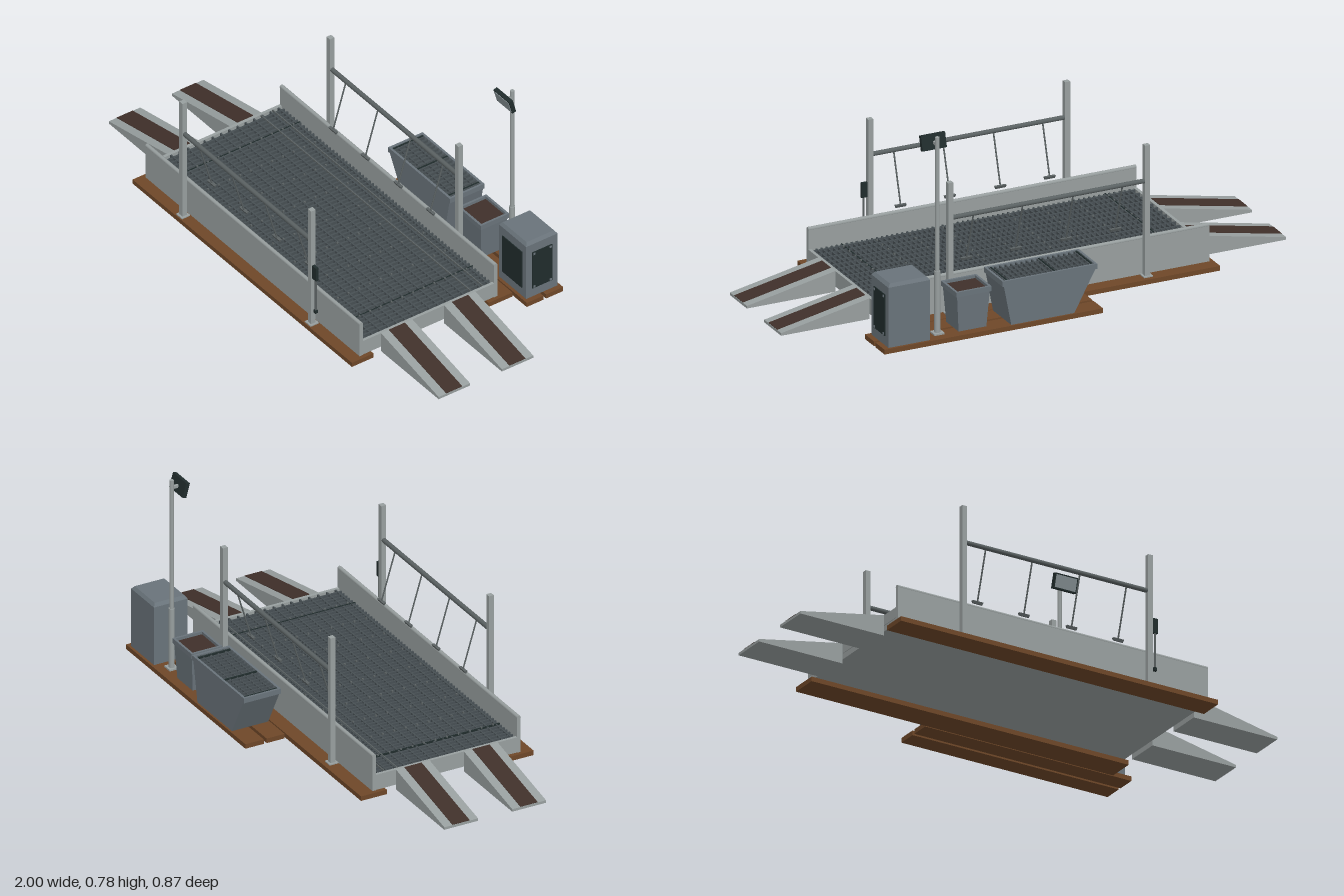
import * as THREE from 'three';
import { mergeGeometries } from 'three/addons/utils/BufferGeometryUtils.js';

export function createModel() {
  const model = new THREE.Group();
  model.name = 'washPlatform';
  const mat = (name, color) => {
    const m = new THREE.MeshStandardMaterial({ color });
    m.name = name;
    return m;
  };
  const steel = mat('galvanised steel', 0x989f9f);
  const slate = mat('slate paint', 0x69737a);
  const grate = mat('dark grating', 0x474f53);
  const dark = mat('black panel', 0x202c2c);
  const wood = mat('timber', 0x6e4728);
  const brown = mat('brown tread', 0x40302a);
  const rod = mat('spray pipe', 0x5b6263);
  const lens = mat('lamp lens', 0x8a9599);

  const add = (name, geo, material, parent = model) => {
    const m = new THREE.Mesh(geo, material);
    m.name = name;
    parent.add(m);
    return m;
  };
  // Box from its limits on each axis
  const span = (x0, x1, y0, y1, z0, z1) =>
    new THREE.BoxGeometry(x1 - x0, y1 - y0, z1 - z0)
      .translate((x0 + x1) / 2, (y0 + y1) / 2, (z0 + z1) / 2);
  // Box whose bottom and top have different limits: [x0, x1, z0, z1]
  const taper = (y0, y1, low, high) => {
    const g = new THREE.BoxGeometry(1, 1, 1).toNonIndexed();
    const p = g.attributes.position;
    for (let i = 0; i < p.count; i++) {
      const top = p.getY(i) > 0, r = top ? high : low;
      p.setXYZ(i, r[p.getX(i) > 0 ? 1 : 0], top ? y1 : y0, r[p.getZ(i) > 0 ? 3 : 2]);
    }
    g.computeVertexNormals();
    return g;
  };
  // Straight pipe between two points
  const pipe = (a, b, r, sides = 8) => {
    const A = new THREE.Vector3(...a), B = new THREE.Vector3(...b);
    const d = B.clone().sub(A);
    const q = new THREE.Quaternion().setFromUnitVectors(new THREE.Vector3(0, 1, 0), d.clone().normalize());
    const c = A.add(B).multiplyScalar(0.5);
    return new THREE.CylinderGeometry(r, r, d.length(), sides).applyQuaternion(q).translate(c.x, c.y, c.z);
  };
  // Hollow rectangular rim
  const rim = (x0, x1, y0, y1, z0, z1, t) => mergeGeometries([
    span(x0, x1, y0, y1, z0, z0 + t), span(x0, x1, y0, y1, z1 - t, z1),
    span(x0, x0 + t, y0, y1, z0 + t, z1 - t), span(x1 - t, x1, y0, y1, z0 + t, z1 - t)]);

  // Timber sleepers
  for (const [x0, x1, z0, z1] of [
    [-0.665, 0.665, 0.34, 0.435], [-0.665, 0.665, -0.27, -0.165],
    [-0.12, 0.745, -0.348, -0.275], [-0.12, 0.745, -0.435, -0.36]])
    add('sleeper', span(x0, x1, 0, 0.018, z0, z1), wood);

  // Basin, side walls and rolled top edges
  const deck = new THREE.Group();
  deck.name = 'deck';
  model.add(deck);
  add('basin', span(-0.648, 0.648, 0.018, 0.06, -0.213, 0.388), steel, deck);
  add('basinRim', rim(-0.65, 0.65, 0.04, 0.08, -0.215, 0.39, 0.012), steel, deck);
  for (const [z0, z1, name] of [[0.376, 0.39, 'frontWall'], [-0.215, -0.201, 'rearWall']]) {
    add(name, span(-0.65, 0.65, 0.018, 0.158, z0, z1), steel, deck);
    const zc = (z0 + z1) / 2;
    add(name + 'Edge', pipe([-0.65, 0.157, zc], [0.65, 0.157, zc], 0.008), steel, deck);
  }

  // Floor grating
  add('gratingFloor', span(-0.637, 0.637, 0.06, 0.068, -0.2, 0.375), grate, deck);
  const bars = [], studs = [];
  for (let i = 0; i <= 62; i++) {
    const x = -0.62 + i * 0.02;
    bars.push(span(x - 0.003, x + 0.003, 0.068, 0.079, -0.2, 0.375));
  }
  for (let i = 0; i < 16; i++) {
    const z = -0.185 + i * 0.0363;
    bars.push(span(-0.637, 0.637, 0.068, 0.08, z - 0.003, z + 0.003));
  }
  add('gratingBars', mergeGeometries(bars), grate, deck);
  for (let i = 0; i < 9; i++)
    for (let j = 0; j < 12; j++) {
      const x = -0.525 + i * 0.1312, z = -0.17 + j * 0.047;
      studs.push(span(x - 0.003, x + 0.003, 0.078, 0.084, z - 0.003, z + 0.003));
    }
  add('gratingClips', mergeGeometries(studs), rod, deck);
  for (const x of [-0.525, 0.52])
    add('gratingJoint', span(x - 0.002, x + 0.002, 0.074, 0.081, -0.2, 0.375), dark, deck);
  for (const z of [-0.16, -0.108])
    add('drainRail', span(-0.637, 0.637, 0.074, 0.082, z - 0.002, z + 0.002), rod, deck);

  // Drive-on ramps with brown treads
  for (const s of [-1, 1])
    for (const z of [0.2275, -0.05]) {
      const ramp = new THREE.Group();
      ramp.name = 'ramp';
      const shape = new THREE.Shape([[0.65, 0], [1, 0], [1, 0.01], [0.65, 0.08]]
        .map(([x, y]) => new THREE.Vector2(x, y)));
      add('rampBody', new THREE.ExtrudeGeometry(shape, { depth: 0.138, bevelEnabled: false })
        .translate(0, 0, -0.069), steel, ramp);
      const tread = add('rampTread', new THREE.BoxGeometry(0.355, 0.003, 0.07), brown, ramp);
      tread.position.set(0.825, 0.0455, 0);
      tread.rotation.z = -Math.atan2(0.07, 0.35);
      ramp.position.z = z;
      ramp.rotation.y = s < 0 ? Math.PI : 0;
      if (s < 0) ramp.position.z = z;
      model.add(ramp);
    }

  // Spray frames: posts, rail and slanted drop pipes with nozzles
  for (const [z, dir, name] of [[0.412, -1, 'frontSprayFrame'], [-0.235, 1, 'rearSprayFrame']]) {
    const frame = new THREE.Group();
    frame.name = name;
    model.add(frame);
    for (const x of [-0.39, 0.39]) {
      add('post', span(x - 0.01, x + 0.01, 0.018, 0.525, z - 0.01, z + 0.01), steel, frame);
      add('postFoot', span(x - 0.018, x + 0.018, 0.018, 0.022, z - 0.018, z + 0.018), steel, frame);
    }
    add('rail', pipe([-0.39, 0.386, z], [0.39, 0.386, z], 0.009), rod, frame);
    for (const x of [-0.295, -0.1, 0.1, 0.295]) {
      add('dropPipe', pipe([x, 0.385, z], [x, 0.195, z + dir * 0.057], 0.003, 6), rod, frame);
      add('nozzle', taper(0.187, 0.197,
        [x - 0.02, x + 0.02, z + dir * 0.057 - 0.002, z + dir * 0.057 + 0.002],
        [x - 0.022, x + 0.022, z + dir * 0.057 - 0.006, z + dir * 0.057 + 0.006]), rod, frame);
    }
  }

  // Hand lance holder on a front post
  add('lanceGrip', span(0.4, 0.424, 0.225, 0.282, 0.407, 0.418), dark);
  add('lance', pipe([0.414, 0.08, 0.412], [0.414, 0.23, 0.412], 0.004), rod);
  add('lanceTip', span(0.408, 0.42, 0.078, 0.091, 0.407, 0.418), dark);

  // Control cabinet with dark doors
  const cabinet = new THREE.Group();
  cabinet.name = 'cabinet';
  model.add(cabinet);
  add('cabinetBody', span(0.56, 0.725, 0.018, 0.25, -0.425, -0.287), slate, cabinet);
  add('cabinetTop', taper(0.25, 0.262, [0.56, 0.725, -0.425, -0.287], [0.57, 0.715, -0.416, -0.296]), slate, cabinet);
  add('frontPanel', span(0.583, 0.702, 0.055, 0.215, -0.288, -0.284), dark, cabinet);
  add('sidePanel', span(0.724, 0.728, 0.055, 0.215, -0.4, -0.312), dark, cabinet);
  for (const y of [0.062, 0.207])
    for (const z of [-0.392, -0.32])
      add('panelScrew', span(0.727, 0.73, y - 0.004, y + 0.004, z - 0.004, z + 0.004), slate, cabinet);

  // Long hopper with a grated top
  const hopper = new THREE.Group();
  hopper.name = 'hopper';
  model.add(hopper);
  add('hopperBody', taper(0.018, 0.176, [-0.01, 0.24, -0.428, -0.28], [-0.095, 0.27, -0.428, -0.28]), slate, hopper);
  add('hopperRim', rim(-0.1, 0.275, 0.172, 0.192, -0.43, -0.278, 0.009), slate, hopper);
  add('hopperFill', span(-0.091, 0.266, 0.175, 0.18, -0.421, -0.287), grate, hopper);
  const slats = [];
  for (let i = 0; i < 17; i++) slats.push(span(-0.08 + i * 0.021, -0.075 + i * 0.021, 0.18, 0.19, -0.421, -0.287));
  for (let i = 0; i < 4; i++) slats.push(span(-0.091, 0.266, 0.18, 0.189, -0.4 + i * 0.03, -0.396 + i * 0.03));
  add('hopperGrating', mergeGeometries(slats), grate, hopper);
  for (const x of [-0.088, 0.06, 0.25])
    add('hopperDivider', span(x, x + 0.005, 0.18, 0.191, -0.421, -0.287), dark, hopper);

  // Small collecting bin
  const bin = new THREE.Group();
  bin.name = 'bin';
  model.add(bin);
  add('binBody', taper(0.018, 0.16, [0.325, 0.435, -0.4, -0.3], [0.315, 0.445, -0.408, -0.292]), slate, bin);
  add('binRim', rim(0.31, 0.45, 0.156, 0.175, -0.412, -0.287, 0.009), slate, bin);
  add('binContents', span(0.319, 0.441, 0.158, 0.164, -0.403, -0.296), brown, bin);

  // Lamp post and tilted floodlight
  const lamp = new THREE.Group();
  lamp.name = 'lampPost';
  model.add(lamp);
  add('lampFoot', span(0.49, 0.53, 0.018, 0.024, -0.4, -0.362), steel, lamp);
  add('lampSleeve', pipe([0.51, 0.018, -0.381], [0.51, 0.26, -0.381], 0.011, 12), steel, lamp);
  add('lampPole', pipe([0.51, 0.25, -0.381], [0.51, 0.776, -0.381], 0.008, 12), steel, lamp);
  add('lampArm', span(0.505, 0.515, 0.741, 0.752, -0.38, -0.352), steel, lamp);
  const head = new THREE.Group();
  head.name = 'floodlight';
  head.position.set(0.511, 0.747, -0.348);
  head.rotation.x = 0.27;
  lamp.add(head);
  add('lampCase', new THREE.BoxGeometry(0.096, 0.057, 0.016), dark, head);
  add('lampLens', new THREE.BoxGeometry(0.086, 0.047, 0.003).translate(0, 0, 0.0085), lens, head);

  return model;
}
